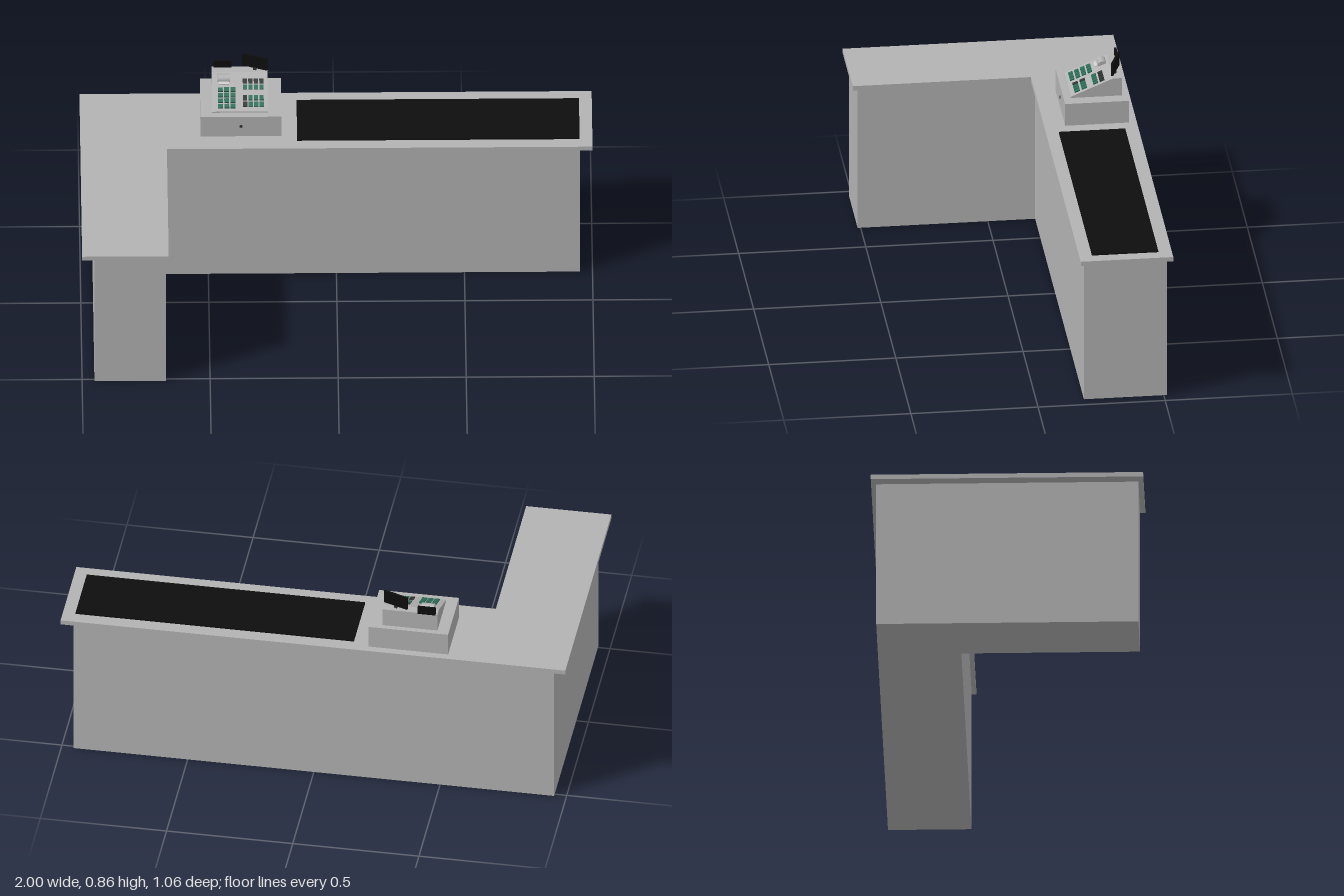
import * as THREE from 'three';

const mat = (name, color, extra = {}) => {
  const m = new THREE.MeshStandardMaterial({ color, ...extra });
  m.name = name;
  return m;
};

export function createModel() {
  const grey = mat('counter grey', 0xb2b2b2);
  const black = mat('black', 0x0d0d0d);
  const green = mat('key green', 0x2c6e58);
  const dark = mat('key dark grey', 0x2e3432);
  const paper = mat('paper light grey', 0xcccccc);

  const model = new THREE.Group();
  model.name = 'checkoutCounter';

  const add = (parent, name, geometry, material, x = 0, y = 0, z = 0) => {
    const mesh = new THREE.Mesh(geometry, material);
    mesh.name = name;
    mesh.position.set(x, y, z);
    parent.add(mesh);
    return mesh;
  };
  // Box given by its limits on each axis
  const box = (parent, name, material, x0, x1, y0, y1, z0, z1) =>
    add(parent, name, new THREE.BoxGeometry(x1 - x0, y1 - y0, z1 - z0), material,
      (x0 + x1) / 2, (y0 + y1) / 2, (z0 + z1) / 2);

  // L-shaped slab: long run at the back, wing coming forward on the right
  const slab = (name, hx, hz, innerX, innerZ, y0, y1) => {
    const outline = [[-hx, -hz], [innerX, -hz], [innerX, -innerZ], [hx, -innerZ], [hx, hz], [-hx, hz]];
    const shape = new THREE.Shape(outline.map(([x, y]) => new THREE.Vector2(x, y)));
    const geo = new THREE.ExtrudeGeometry(shape, { depth: y1 - y0, bevelEnabled: false });
    geo.rotateX(-Math.PI / 2);
    add(model, name, geo, grey, 0, y0, 0);
  };
  slab('counterBase', 0.952, 0.512, -0.672, -0.186, 0, 0.602);
  slab('counterTop', 1, 0.532, -0.662, -0.168, 0.602, 0.621);

  box(model, 'conveyorBelt', black, -0.153, 0.95, 0.618, 0.626, -0.479, -0.218);

  // Cash register
  const register = new THREE.Group();
  register.name = 'cashRegister';
  model.add(register);
  box(register, 'cashDrawer', grey, -0.53, -0.214, 0.62, 0.715, -0.502, -0.25);
  const lock = add(register, 'drawerLock',
    new THREE.CylinderGeometry(0.006, 0.006, 0.004, 12), dark, -0.372, 0.67, -0.249);
  lock.rotation.x = Math.PI / 2;

  // Sloped body, side profile drawn as (-z, y)
  const profile = [[0.278, 0.715], [0.48, 0.715], [0.48, 0.79], [0.444, 0.79], [0.278, 0.72]];
  const bodyGeo = new THREE.ExtrudeGeometry(
    new THREE.Shape(profile.map(([x, y]) => new THREE.Vector2(x, y))),
    { depth: 0.218, bevelEnabled: false });
  bodyGeo.rotateY(Math.PI / 2);
  add(register, 'registerBody', bodyGeo, grey, -0.484, 0, 0);

  // Keys lie on the slope
  const slope = Math.atan2(0.07, 0.166);
  const slopeY = z => 0.72 + (-0.278 - z) * 0.07 / 0.166;
  const keyPad = (name, x0, x1, z0, z1, cols, rows, pick) => {
    const pad = new THREE.Group();
    pad.name = name;
    register.add(pad);
    const dx = (x1 - x0) / cols, dz = (z1 - z0) / rows;
    const geo = new THREE.BoxGeometry(dx * 0.78, 0.006, dz * 0.78);
    for (let c = 0; c < cols; c++) {
      for (let r = 0; r < rows; r++) {
        const z = z0 + (r + 0.5) * dz;
        const key = add(pad, 'key', geo, pick(c, r), x0 + (c + 0.5) * dx, slopeY(z) + 0.002, z);
        key.rotation.x = slope;
      }
    }
  };
  keyPad('numberKeys', -0.464, -0.39, -0.38, -0.288, 3, 4, () => green);
  keyPad('upperFunctionKeys', -0.366, -0.28, -0.416, -0.366, 4, 2, (c, r) => r ? green : dark);
  keyPad('lowerFunctionKeys', -0.366, -0.28, -0.348, -0.292, 4, 2, c => c === 0 ? dark : green);

  // Receipt printer: round cover with a paper strip in front
  const roll = add(register, 'receiptRoll',
    new THREE.CylinderGeometry(0.018, 0.018, 0.05, 20), grey, -0.438, 0.777, -0.42);
  roll.rotation.z = Math.PI / 2;
  const slip = add(register, 'receiptSlip',
    new THREE.BoxGeometry(0.04, 0.003, 0.012), paper, -0.438, slopeY(-0.396) + 0.003, -0.396);
  slip.rotation.x = slope;

  // Displays
  box(register, 'smallDisplay', black, -0.477, -0.406, 0.787, 0.821, -0.482, -0.474);
  const customer = new THREE.Group();
  customer.name = 'customerDisplay';
  customer.position.set(-0.316, 0, -0.459);
  customer.rotation.y = -0.36;
  register.add(customer);
  box(customer, 'displayScreen', black, -0.052, 0.052, 0.8, 0.855, -0.004, 0.004);
  box(customer, 'displayPost', dark, -0.006, 0.006, 0.785, 0.802, -0.004, 0.004);

  return model;
}
